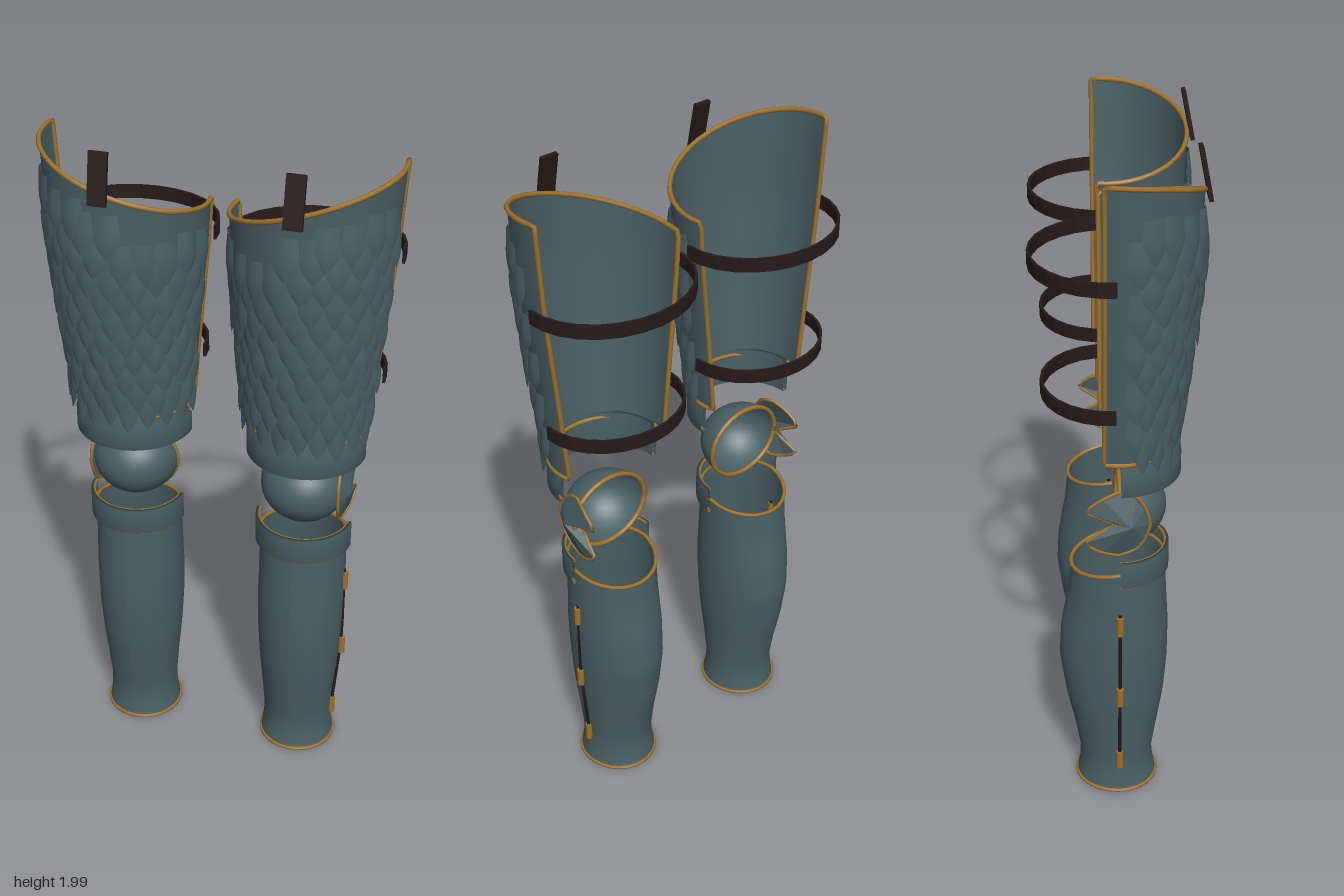
import * as THREE from 'three';
import { mergeGeometries } from 'three/addons/utils/BufferGeometryUtils.js';

const mat = (name, color) => {
  const m = new THREE.MeshStandardMaterial({ color, side: THREE.DoubleSide });
  m.name = name;
  return m;
};
const V = (x, y, z) => new THREE.Vector3(x, y, z);
const lerp = THREE.MathUtils.lerp;

// Grid surface from a point rule f(u, v), u and v in 0..1
function surf(f, nu, nv, flat = false) {
  const pos = [], idx = [];
  for (let j = 0; j <= nv; j++)
    for (let i = 0; i <= nu; i++) pos.push(...f(i / nu, j / nv).toArray());
  for (let j = 0; j < nv; j++)
    for (let i = 0; i < nu; i++) {
      const a = j * (nu + 1) + i, b = a + nu + 1;
      idx.push(a, a + 1, b + 1, a, b + 1, b);
    }
  let g = new THREE.BufferGeometry();
  g.setAttribute('position', new THREE.Float32BufferAttribute(pos, 3));
  g.setIndex(idx);
  if (flat) g = g.toNonIndexed();
  g.computeVertexNormals();
  return g;
}

// Thin tube along an edge
function rim(points, closed = true, r = 0.007) {
  const curve = new THREE.CatmullRomCurve3(points, closed, 'catmullrom', 0.1);
  return new THREE.TubeGeometry(curve, points.length * 2, r, 6, closed);
}
const range = (n, f) => Array.from({ length: n }, (_, i) => f(i));

// Linear look-up in rows of [y, value, value, ...]
function sample(rows, y) {
  let i = 0;
  while (i < rows.length - 2 && y > rows[i + 1][0]) i++;
  const t = THREE.MathUtils.clamp((y - rows[i][0]) / (rows[i + 1][0] - rows[i][0]), 0, 1);
  return rows[i].map((v, k) => lerp(v, rows[i + 1][k], t));
}

const THIGH = [[1.18, 0.176, 0.155], [1.4, 0.194, 0.185], [1.7, 0.222, 0.215], [1.97, 0.238, 0.222]];
const SHIN = [ // y, half width, front depth, back depth
  [0.01, 0.116, 0.116, 0.125], [0.05, 0.109, 0.107, 0.117], [0.1, 0.106, 0.102, 0.114],
  [0.2, 0.113, 0.117, 0.13], [0.32, 0.124, 0.136, 0.156], [0.45, 0.131, 0.146, 0.174],
  [0.56, 0.133, 0.147, 0.168], [0.68, 0.131, 0.14, 0.146], [0.81, 0.129, 0.134, 0.133]];

export function createModel() {
  const steel = mat('steel', 0x4a5f64), gold = mat('gold', 0x9c7230), leather = mat('leather', 0x261a1a);
  const model = new THREE.Group();
  model.name = 'legArmour';

  for (const s of [1, -1]) {
    const leg = new THREE.Group();
    leg.name = s > 0 ? 'leftLeg' : 'rightLeg';
    leg.position.x = s * 0.262;
    model.add(leg);
    const add = (name, geo, m) => {
      const mesh = new THREE.Mesh(geo, m);
      mesh.name = name;
      leg.add(mesh);
      return mesh;
    };

    // Thigh plate: open at the back, top edge rising outward
    const thighTop = x => 1.885 + 0.354 * x;
    const thighAt = (a, y, off = 0) => {
      const [, rx, rz] = sample(THIGH, y);
      return V(s * (rx + off) * Math.sin(a), y, (rz + off) * Math.cos(a));
    };
    const thigh = (u, v) => {
      const side = 2 * u - 1;
      const top = thighTop(0.238 * Math.sin(side * Math.PI / 2));
      const y = lerp(1.18, top, v);
      return thighAt(side * (Math.PI / 2 + Math.asin(0.045 / sample(THIGH, y)[2])), y);
    };
    add('thighPlate', surf(thigh, 36, 12), steel);
    add('thighTrim', rim([
      ...range(24, i => thigh(i / 24, 0)), ...range(10, i => thigh(1, i / 10)),
      ...range(24, i => thigh(1 - i / 24, 1)), ...range(10, i => thigh(0, 1 - i / 10))]), gold);

    // Overlapping pointed scales
    let seed = 7;
    const rand = () => (seed = (seed * 16807) % 2147483647) / 2147483647 - 0.5;
    const scales = [], count = 10, step = 2.9 / count;
    for (let row = 0; row < 11; row++)
      for (let i = 0; i < count; i++) {
        const a = (i - (count - 1) / 2 + (row % 2 ? 0.25 : -0.25)) * step + rand() * 0.06;
        const top = 1.27 + row * 0.061 + rand() * 0.03;
        const lift = 0.012 + (rand() + 0.5) * 0.007;
        if (top > thighTop(0.23 * Math.sin(a)) - 0.045) continue;
        scales.push(surf((u, v) => {
          const p = 2 * u - 1;
          const w = v < 0.5 ? 0.8 + 0.4 * v : 1 - Math.pow(2 * v - 1, 1.7);
          return thighAt(a + p * w * step * 0.56, top - 0.125 * v, 0.002 + lift * v + 0.008 * (1 - p * p) * w);
        }, 4, 6));
      }
    add('thighScales', mergeGeometries(scales), steel);

    // Half bands above and below the knee
    const band = (name, pts) => add(name, new THREE.LatheGeometry(
      pts.map(p => new THREE.Vector2(...p)), 28, -Math.PI / 2, Math.PI).toNonIndexed(), steel);
    const arc = (r, y) => range(19, i => {
      const a = (i / 18 - 0.5) * Math.PI;
      return V(r * Math.sin(a), y, r * Math.cos(a));
    });
    band('upperKneeBand', [[0.16, 1.08], [0.175, 1.08], [0.175, 1.14], [0.168, 1.145], [0.168, 1.195], [0.155, 1.195], [0.16, 1.08]]);
    band('lowerKneeBand', [[0.13, 0.765], [0.145, 0.765], [0.145, 0.845], [0.137, 0.848], [0.13, 0.765]]);
    add('lowerBandTrim', rim(arc(0.138, 0.764), false, 0.006), gold);
    add('lowerBandTopTrim', rim(arc(0.135, 0.844), false, 0.005), gold);
    add('upperBandTrim', rim(arc(0.165, 1.083), false, 0.005), gold);

    // Domed knee cap
    const knee = new THREE.SphereGeometry(1, 28, 18, 0, Math.PI);
    knee.scale(0.13, 0.115, 0.136).translate(0, 0.965, 0);
    add('kneeCap', knee, steel);
    add('kneeTrim', rim(range(28, i => {
      const a = i / 28 * Math.PI * 2;
      return V(0.128 * Math.cos(a), 0.965 + 0.113 * Math.sin(a), 0);
    })), gold);

    // Notched wing on the outer side of the knee: [x, height from centre, z]
    const half = [[0.133, 0.05, -0.1], [0.128, 0.085, -0.05], [0.115, 0.102, 0],
      [0.113, 0.085, 0.045], [0.116, 0.048, 0.072]];
    const outline = [[0.113, 0, -0.018], ...half, [0.118, 0, 0.084],
      ...half.map(([x, y, z]) => [x, -y, z]).reverse()].map(([x, y, z]) => V(s * x, 0.963 + y, z));
    const hub = V(s * 0.143, 0.963, 0.03);
    const wing = new THREE.BufferGeometry().setFromPoints(
      outline.flatMap((p, i) => [hub, p, outline[(i + 1) % outline.length]]));
    wing.computeVertexNormals();
    add('kneeWing', wing, steel);
    add('kneeWingTrim', rim(outline, true, 0.005), gold);

    // Greave with a fuller calf
    const shin = (u, v) => {
      const a = u * Math.PI * 2, c = Math.cos(a);
      const y = lerp(0.01, 0.8 + Math.min(c, 0) * 0.025, v);
      const [, rx, front, back] = sample(SHIN, y);
      return V(rx * Math.sin(a), y, c * (c > 0 ? front : back));
    };
    add('greave', surf(shin, 36, 24), steel);
    for (const v of [0, 1])
      add(v ? 'greaveTopTrim' : 'greaveBottomTrim', rim(range(28, i => shin(i / 28, v)), true, 0.006), gold);

    // Hinge rod and knuckles along the outer seam
    add('greaveSeam', rim([V(s * 0.131, 0.67, 0), V(s * 0.133, 0.4, 0), V(s * 0.109, 0.1, 0)], false, 0.005), leather);
    [[0.133, 0.63], [0.134, 0.38], [0.112, 0.13]].forEach(([x, y]) => {
      const hinge = add('greaveHinge', new THREE.CylinderGeometry(0.011, 0.011, 0.06, 8), gold);
      hinge.position.set(s * x, y, 0);
    });

    // Leather straps round the back of the thigh
    const strap = (y, rx, rz) => add('thighStrap', surf((u, v) => {
      const a = lerp(-0.05, Math.PI + 0.05, u), k = Math.round(v * 4) % 4;
      const r = k === 1 || k === 2 ? 0.008 : 0;
      return V((rx + r) * Math.cos(a), y + (k < 2 ? -0.02 : 0.02), -0.025 - (rz + r) * Math.sin(a));
    }, 14, 4, true), leather);
    strap(1.71, 0.238, 0.207);
    strap(1.34, 0.206, 0.18);

    // Hanging strap at the front of the top edge
    const hanger = add('hangerStrap', new THREE.BoxGeometry(0.052, 0.142, 0.012), leather);
    hanger.position.set(0, 1.928, 0.222);
    hanger.rotation.x = -0.2;
  }
  return model;
}
